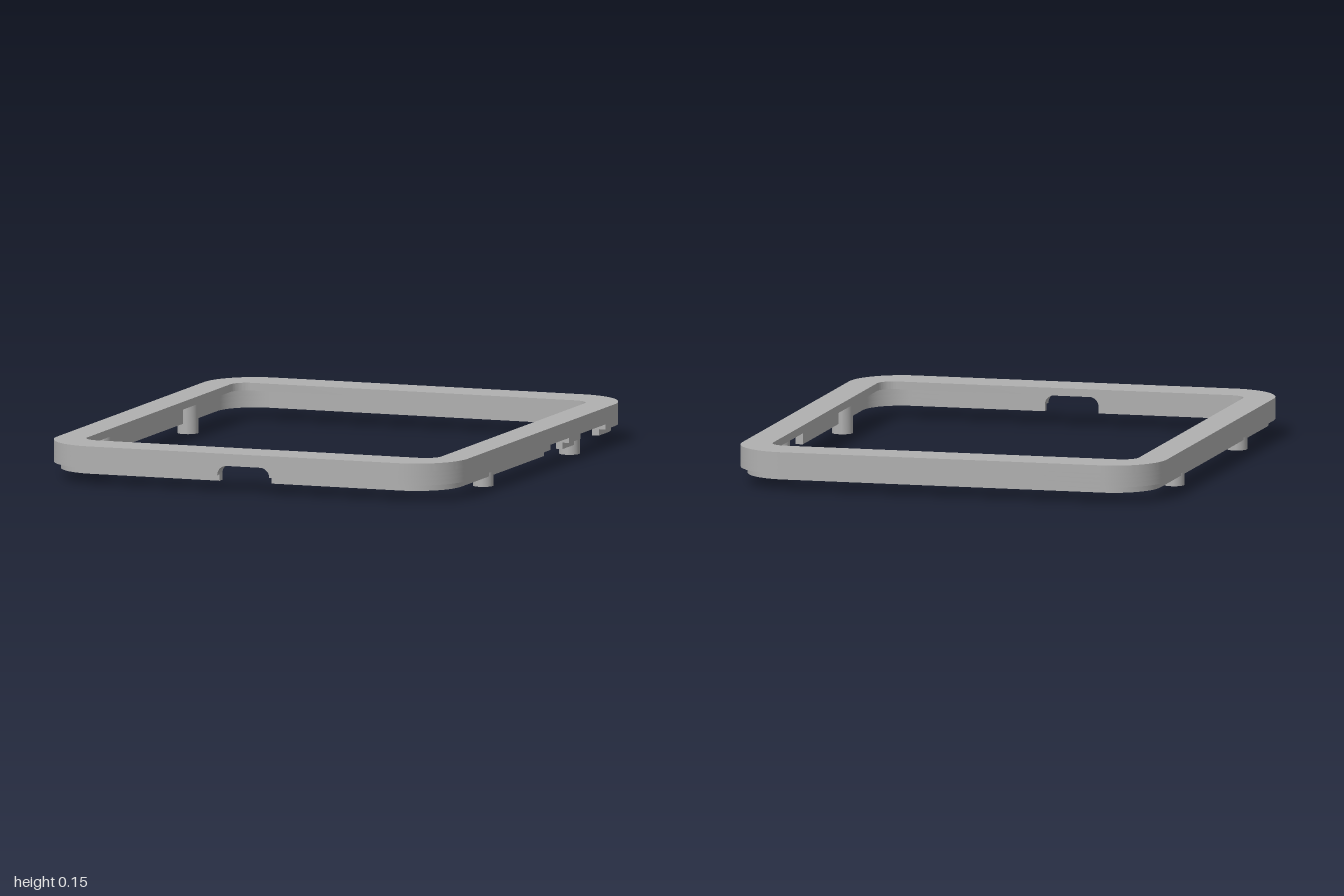
import * as THREE from 'three';
import { toCreasedNormals } from 'three/addons/utils/BufferGeometryUtils.js';

const HX = 0.845, HZ = 1, R = 0.21;      // outer half sizes and corner radius
const NOTCH = 0.107;                     // half width of the front notch
const Y = { lip: 0.04, step: 0.065, slot: 0.085, notch: 0.103, ceiling: 0.12, top: 0.15 };

// Outline points with outward normals: [x, z, nx, nz]
function corner(sx, sz, a0) {
  return Array.from({ length: 17 }, (_, i) => {
    const a = a0 - (i / 16) * Math.PI / 2, nx = Math.cos(a), nz = Math.sin(a);
    return [sx * (HX - R) + R * nx, sz * (HZ - R) + R * nz, nx, nz];
  });
}

// Extrude a plan shape (drawn in x, -z) between two heights
function slab(shape, y0, y1) {
  const geo = new THREE.ExtrudeGeometry(shape, { depth: y1 - y0, bevelEnabled: false, curveSegments: 16 });
  geo.rotateX(-Math.PI / 2);
  geo.translate(0, y0, 0);
  return toCreasedNormals(geo, 0.5);
}

function roundedRect(path, hx, hz, r) {
  const h = Math.PI / 2;
  path.moveTo(hx, -hz + r);
  path.absarc(hx - r, hz - r, r, 0, h);
  path.absarc(-hx + r, hz - r, r, h, 2 * h);
  path.absarc(-hx + r, -hz + r, r, 2 * h, 3 * h);
  path.absarc(hx - r, -hz + r, r, 3 * h, 4 * h);
  path.closePath();
  return path;
}

export function createModel() {
  const group = new THREE.Group();
  const grey = new THREE.MeshStandardMaterial({ color: 0xb0b0b0 });
  grey.name = 'grey plastic';
  const add = (name, geo) => {
    const mesh = new THREE.Mesh(geo, grey);
    mesh.name = name;
    group.add(mesh);
    return mesh;
  };

  // Top frame with the window opening
  const plate = roundedRect(new THREE.Shape(), HX, HZ, R);
  plate.holes.push(roundedRect(new THREE.Path(), 0.728, 0.835, 0.065));
  add('topFrame', slab(plate, Y.ceiling, Y.top));

  // Wall outline, cut at the front notch and the two side slots
  const h = Math.PI / 2;
  const side = z => [HX, z, 1, 0];
  const runs = [
    [[NOTCH, HZ, 0, 1], ...corner(1, 1, h), side(-0.1)],
    [side(-0.3), side(-0.42)],
    [side(-0.69), ...corner(1, -1, 0), ...corner(-1, -1, -h), ...corner(-1, 1, -2 * h), [-NOTCH, HZ, 0, 1]],
  ];
  const wall = (name, points, out, inn, y0, y1) => {
    const at = d => points.map(([x, z, nx, nz]) => new THREE.Vector2(x - d * nx, -(z - d * nz)));
    add(name, slab(new THREE.Shape([...at(out), ...at(inn).reverse()]), y0, y1));
  };
  const LIP = 0.027, INNER = 0.055;
  for (const run of runs) {
    wall('lowerLip', run, LIP, INNER, Y.lip, Y.step);
    wall('slottedWall', run, 0, INNER, Y.step, Y.slot);
  }
  const unslotted = runs.flat();
  wall('upperWall', unslotted, 0, INNER, Y.slot, Y.notch);
  wall('closedWall', [...unslotted, unslotted[0]], 0, INNER, Y.notch, Y.ceiling);

  // Rounded upper corners of the front notch
  const r = Y.notch - Y.step;
  for (const s of [-1, 1]) {
    const fillet = new THREE.Shape();
    fillet.moveTo(s * NOTCH, Y.step);
    fillet.lineTo(s * NOTCH, Y.notch);
    fillet.lineTo(s * (NOTCH - r), Y.notch);
    fillet.absarc(s * (NOTCH - r), Y.step, r, h, s > 0 ? 0 : Math.PI, s > 0);
    const geo = new THREE.ExtrudeGeometry(fillet, { depth: INNER, bevelEnabled: false });
    geo.translate(0, 0, HZ - INNER);
    add('notchCorner', toCreasedNormals(geo, 0.5));
  }

  // Hollow screw posts
  const profile = [[0, 0.09], [0.018, 0.09], [0.018, 0], [0.04, 0], [0.04, Y.ceiling]]
    .map(([x, y]) => new THREE.Vector2(x, y));
  const postGeo = toCreasedNormals(new THREE.LatheGeometry(profile, 32), 0.5);
  for (const x of [-0.785, 0.785]) {
    for (const z of [-0.46, 0.47]) add('screwPost', postGeo).position.set(x, 0, z);
  }
  return group;
}
